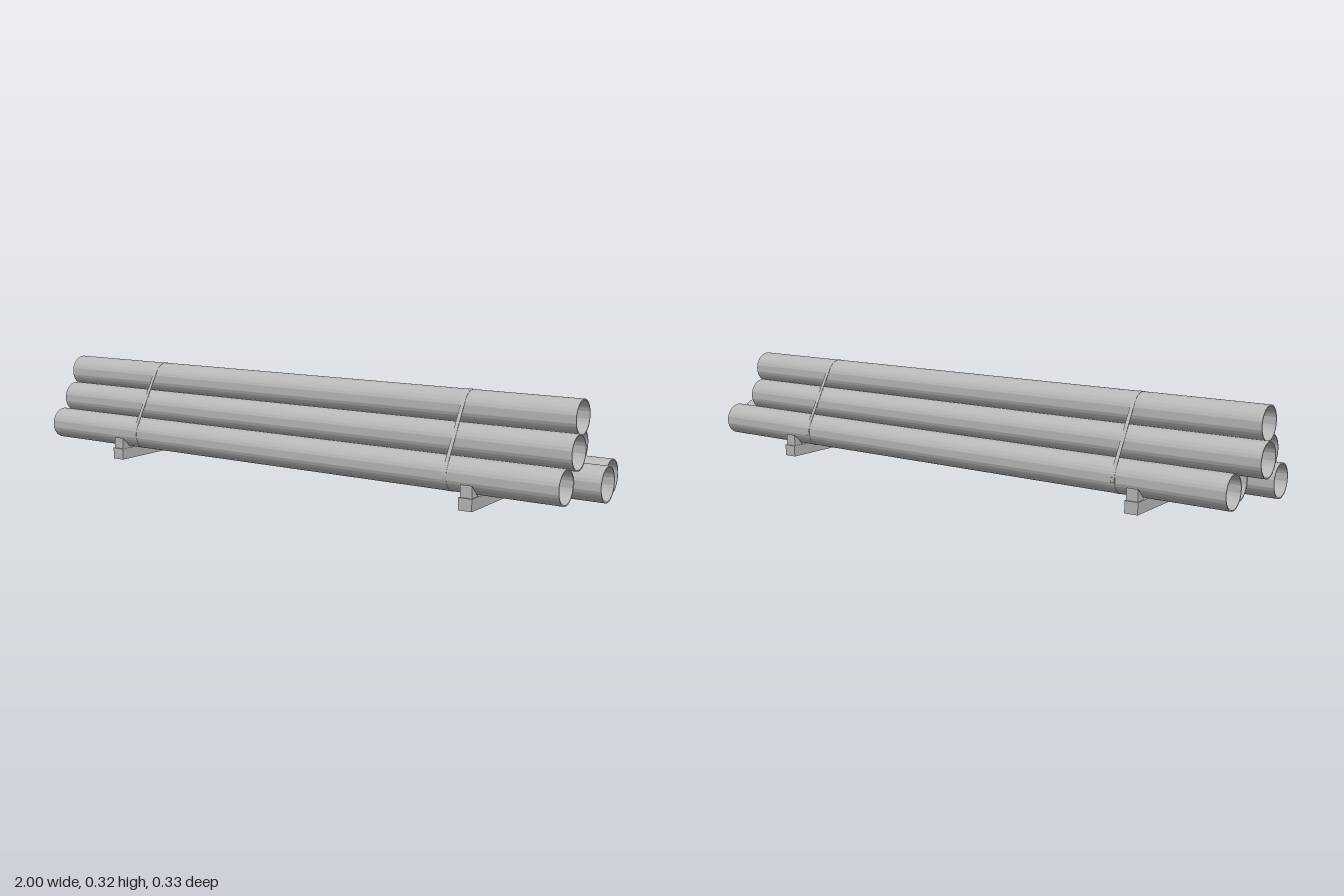
import * as THREE from 'three';
import { toCreasedNormals } from 'three/addons/utils/BufferGeometryUtils.js';

const R = 0.0512, WALL = 0.0035, PIPE_LENGTH = 1.9;
const BASE_Y = 0.0885, ROW = 0.0888, SPACING = 0.1027;

// Extrudes a z-y profile along x, centred on x = 0
function extrudeAlongX(shape, length, curveSegments = 48) {
  const geometry = new THREE.ExtrudeGeometry(shape, { depth: length, bevelEnabled: false, curveSegments });
  geometry.translate(0, 0, -length / 2);
  geometry.rotateY(-Math.PI / 2);
  return toCreasedNormals(geometry, 0.5);
}

// Outline wrapped tightly round the three corner pipes
function wrapOutline(path, radius) {
  const deg = Math.PI / 180;
  path.absarc(SPACING, BASE_Y, radius, -90 * deg, 30 * deg, false);
  path.absarc(0, BASE_Y + 2 * ROW, radius, 30 * deg, 150 * deg, false);
  path.absarc(-SPACING, BASE_Y, radius, 150 * deg, 270 * deg, false);
  path.closePath();
  return path;
}

export function createModel() {
  const model = new THREE.Group();
  model.name = 'pipeStack';
  const grey = new THREE.MeshStandardMaterial({ color: 0xb8b8b8 });
  grey.name = 'grey';

  const add = (parent, name, geometry, x = 0, y = 0, z = 0) => {
    const mesh = new THREE.Mesh(geometry, grey);
    mesh.name = name;
    mesh.position.set(x, y, z);
    parent.add(mesh);
    return mesh;
  };

  // Hollow pipes: [row, z in spacings, sideways shift along x]
  const ring = new THREE.Shape();
  ring.absarc(0, 0, R, 0, Math.PI * 2, false);
  ring.holes.push(new THREE.Path().absarc(0, 0, R - WALL, 0, Math.PI * 2, true));
  const pipeGeometry = extrudeAlongX(ring, PIPE_LENGTH);
  const pipes = [
    [0, 1, -0.027], [0, 0, 0.05], [0, -1, 0.022],
    [1, 0.5, -0.015], [1, -0.5, -0.05],
    [2, 0, -0.027],
  ];
  for (const [row, z, x] of pipes) {
    add(model, 'pipe', pipeGeometry, x, BASE_Y + row * ROW, z * SPACING);
  }

  // Bearers with a wedge chock at each end
  const chock = new THREE.Shape([[0.124, 0.036], [0.162, 0.036], [0.162, 0.073]]
    .map(([z, y]) => new THREE.Vector2(z, y)));
  const chockGeometry = extrudeAlongX(chock, 0.037);
  for (const x of [-0.655, 0.655]) {
    const bearer = new THREE.Group();
    bearer.name = 'bearer';
    bearer.position.x = x;
    add(bearer, 'beam', new THREE.BoxGeometry(0.042, 0.0365, 0.333), 0, 0.01825, 0);
    add(bearer, 'frontChock', chockGeometry);
    add(bearer, 'backChock', chockGeometry).rotation.y = Math.PI;
    model.add(bearer);
  }

  // Thin straps with a small buckle at the back
  const band = wrapOutline(new THREE.Shape(), R + 0.0008);
  band.holes.push(wrapOutline(new THREE.Path(), R - 0.0004));
  const strapGeometry = extrudeAlongX(band, 0.012, 24);
  for (const x of [-0.588, 0.582]) {
    add(model, 'strap', strapGeometry, x);
    add(model, 'buckle', new THREE.BoxGeometry(0.014, 0.016, 0.004), x, 0.086, -SPACING - R - 0.001);
  }
  return model;
}
